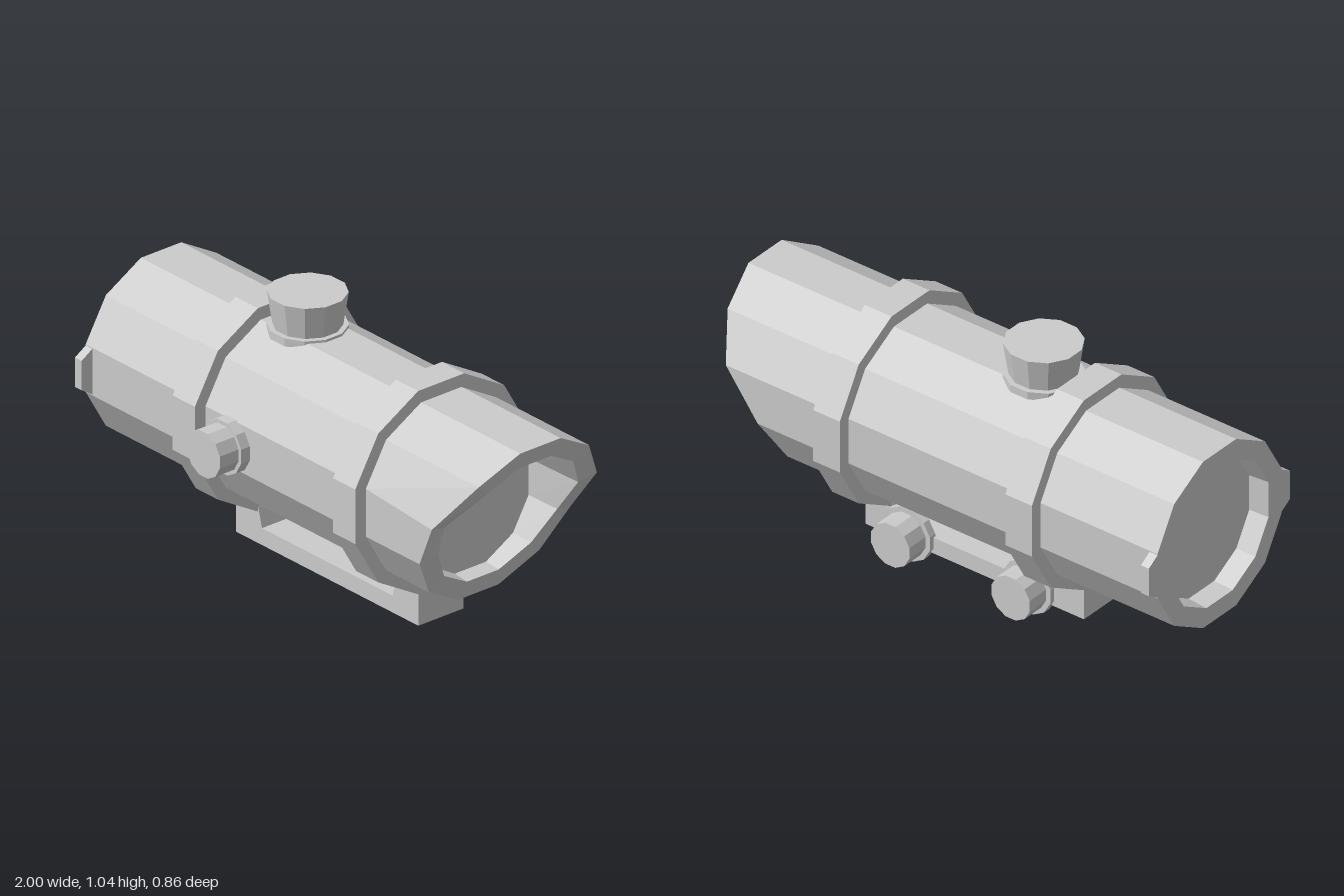
import * as THREE from 'three';

const CY = 0.5675, CZ = -0.0375, SIDES = 12;
const R15 = Math.PI / 12;

export function createModel() {
  const group = new THREE.Group();
  const grey = new THREE.MeshStandardMaterial({ color: 0xcccccc });
  grey.flatShading = true;

  const add = (name, geo, x = 0, y = 0, z = 0) => {
    const mesh = new THREE.Mesh(geo, grey);
    mesh.name = name;
    mesh.position.set(x, y, z);
    group.add(mesh);
    return mesh;
  };

  // Twelve-sided prism given by its apothem, flats squared to the axes
  const prism = (top, bottom, height) => {
    const k = 1 / Math.cos(R15);
    return new THREE.CylinderGeometry(top * k, bottom * k, height, SIDES).rotateY(R15);
  };

  // Slanted muzzle: x of the rim for a given height
  const slope = [[0.22, 0.67], [0.31, 0.70], [0.47, 0.755], [0.66, 0.90], [0.82, 0.965], [0.912, 1.0]];
  const rimX = (y) => {
    for (let i = 1; i < slope.length; i++) {
      const [y0, x0] = slope[i - 1], [y1, x1] = slope[i];
      if (y <= y1 || i === slope.length - 1) return x0 + (x1 - x0) * (y - y0) / (y1 - y0);
    }
  };

  // Cross-section of the tube; x = null follows the slanted rim
  const section = (r, x) => Array.from({ length: SIDES }, (_, k) => {
    const a = (2 * k + 1) * R15;
    let y = CY + r * Math.cos(a);
    const z = CZ + r * Math.sin(a);
    let px = x;
    if (x === null) {
      if (k === 2) y -= 0.027; // dipped corner on the front side
      px = rimX(y);
      if (k === 2) px -= 0.055;
    }
    return [px, y, z];
  });

  // Tube with recessed lens at both ends, lofted through its sections
  const OUT = 0.355, IN = 0.28, LENS = 0.274;
  const rings = [
    section(0, -0.92), section(LENS, -0.92), section(IN, -1), section(OUT, -1),
    section(OUT, 0.476), section(OUT, null), section(IN, null),
    section(LENS, 0.63), section(0, 0.63),
  ];
  const pos = [];
  for (let s = 0; s < rings.length - 1; s++) {
    const A = rings[s], B = rings[s + 1];
    for (let k = 0; k < SIDES; k++) {
      const n = (k + 1) % SIDES;
      if (s < rings.length - 2) pos.push(...A[k], ...A[n], ...B[k]);
      else pos.push(...A[k], ...A[n], ...B[k]);
      if (s > 0 && s < rings.length - 2) pos.push(...A[n], ...B[n], ...B[k]);
      else if (s === 0) pos.push(...A[n], ...B[n], ...B[k]);
    }
  }
  const tube = new THREE.BufferGeometry();
  tube.setAttribute('position', new THREE.Float32BufferAttribute(pos, 3));
  tube.computeVertexNormals();
  add('scopeTube', tube);

  // Clamp rings
  for (const x of [-0.427, 0.418]) {
    add('clampRing', prism(0.391, 0.391, 0.117).rotateZ(Math.PI / 2), x, CY, CZ);
  }

  // Top adjustment turret
  add('topTurretBase', prism(0.138, 0.138, 0.03), -0.227, 0.905, CZ);
  add('topTurret', prism(0.137, 0.118, 0.13), -0.227, 0.98, CZ);

  // Side adjustment turret
  add('sideTurretBase', prism(0.1, 0.1, 0.06).rotateX(Math.PI / 2), -0.235, 0.565, 0.315);
  add('sideTurret', prism(0.086, 0.086, 0.09).rotateX(Math.PI / 2), -0.235, 0.565, 0.385);

  // Tapered tabs on both sides of the rear end
  const tab = new THREE.Shape([[0, -0.09], [0.052, -0.057], [0.052, 0.057], [0, 0.09]]
    .map(([x, y]) => new THREE.Vector2(x, y)));
  const tabGeo = () => new THREE.ExtrudeGeometry(tab, { depth: 0.035, bevelEnabled: false });
  add('rearTabLeft', tabGeo().rotateY(-Math.PI / 2), -0.965, CY, CZ + 0.339);
  add('rearTabRight', tabGeo().rotateY(Math.PI / 2), -1, CY, CZ - 0.339);

  // Mount bridge with two feet reaching the clamp rings
  const bridge = new THREE.Shape([
    [-0.485, 0.08], [0.476, 0.08], [0.476, 0.195], [0.36, 0.195],
    [0.34, 0.12], [-0.348, 0.12], [-0.368, 0.195], [-0.485, 0.195],
  ].map(([x, y]) => new THREE.Vector2(x, y)));
  add('mountBridge', new THREE.ExtrudeGeometry(bridge, { depth: 0.206, bevelEnabled: false }), 0, 0, -0.14);

  // Frame below the bridge, leaving a shallow pocket
  const box = (Type, x0, x1, y0, y1) => new Type([[x0, y0], [x1, y0], [x1, y1], [x0, y1]]
    .map(([x, y]) => new THREE.Vector2(x, y)));
  const frame = box(THREE.Shape, -0.485, 0.476, -0.066, 0.14);
  frame.holes.push(box(THREE.Path, -0.44, 0.43, -0.025, 0.1));
  add('mountFrame', new THREE.ExtrudeGeometry(frame, { depth: 0.025, bevelEnabled: false })
    .rotateX(-Math.PI / 2), 0, 0.055, 0);

  // Clamp screws on the rear side of the mount
  for (const x of [-0.25, 0.28]) {
    add('clampScrewFlange', prism(0.103, 0.103, 0.03).rotateX(Math.PI / 2), x, 0.103, -0.145);
    add('clampScrewKnob', prism(0.084, 0.084, 0.1).rotateX(Math.PI / 2), x, 0.103, -0.2);
  }
  return group;
}
